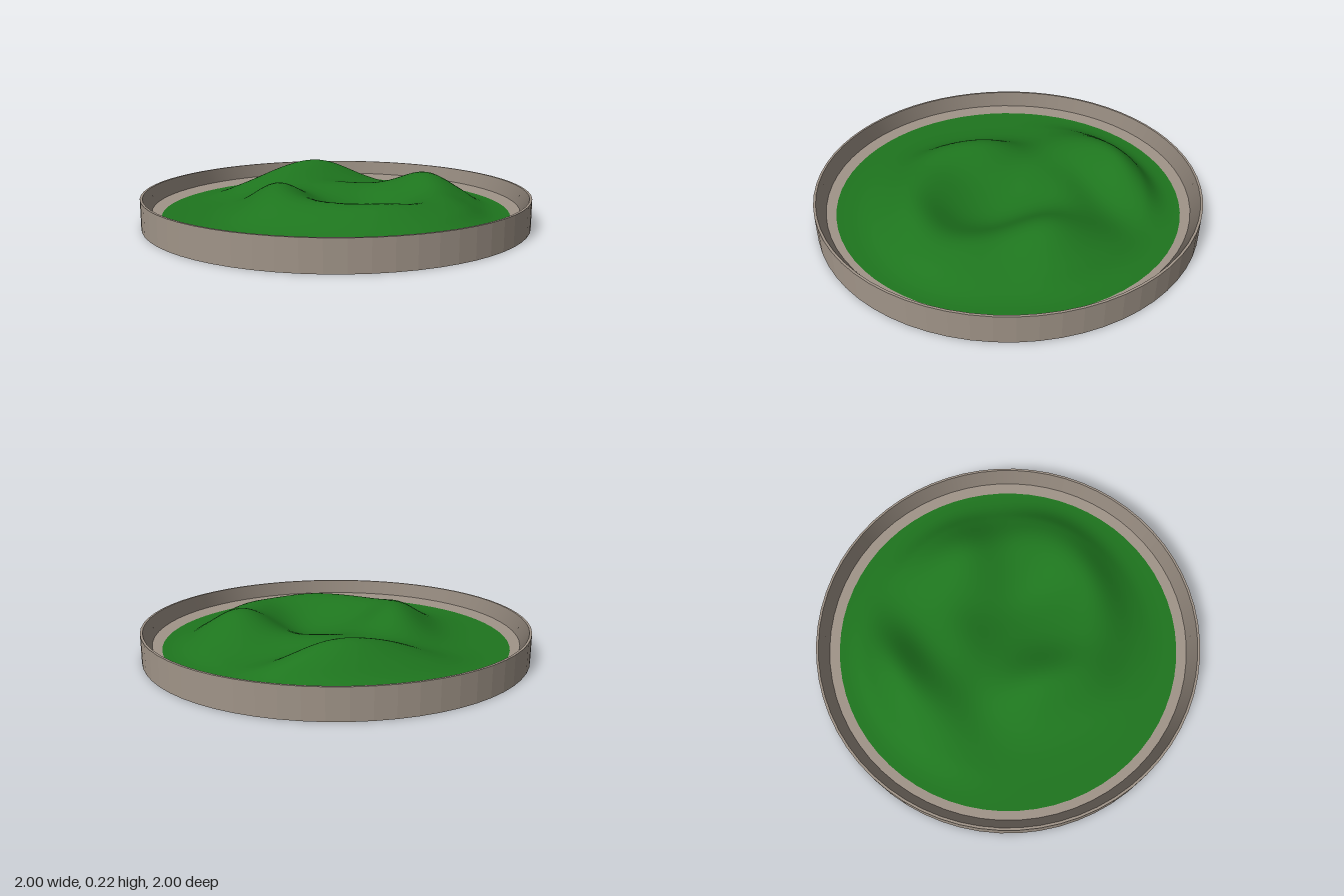
import * as THREE from 'three';
import { mergeVertices } from 'three/addons/utils/BufferGeometryUtils.js';

const BASE = 0.05;
const FIELD_RADIUS = 0.9;

// Rounded hills: x, z, height, spread in x, spread in z
const hills = [
  [0.07, -0.61, 0.135, 0.2, 0.105],  // back ridge
  [-0.2, -0.49, 0.1, 0.2, 0.13],     // back ridge, trailing to the right
  [0.5, -0.01, 0.15, 0.16, 0.16],    // left hill
  [0.55, -0.27, 0.035, 0.14, 0.14],  // left hill, trailing to the back
  [0.45, 0.35, 0.085, 0.14, 0.15],   // front left crest
  [0.14, 0.53, 0.1, 0.2, 0.11],      // front crest
  [-0.17, 0.4, 0.08, 0.16, 0.14],    // front right crest
  [-0.31, 0.01, 0.125, 0.13, 0.17],  // right hill
  [-0.38, 0.25, 0.065, 0.12, 0.14],  // right hill, trailing to the front
  [0.1, -0.25, 0.065, 0.22, 0.12],   // shelf behind the hollow
  [0.05, 0.1, 0.03, 0.3, 0.3],       // raised middle
  [0.18, 0.13, -0.04, 0.14, 0.14],   // hollow
];

function groundHeight(x, z) {
  let h = 0;
  for (const [cx, cz, height, sx, sz] of hills) {
    h += height * Math.exp(-0.5 * (((x - cx) / sx) ** 2 + ((z - cz) / sz) ** 2));
  }
  // Level out towards the edge of the field
  const fade = 1 - THREE.MathUtils.smoothstep(Math.hypot(x, z), 0.7, FIELD_RADIUS);
  return BASE + h * fade;
}

const dishMaterial = new THREE.MeshStandardMaterial({ color: 0xa09488 });

// A turned surface; each profile point is [radius, height]
function turned(name, profile, material) {
  const points = profile.map(([r, y]) => new THREE.Vector2(r, y));
  const mesh = new THREE.Mesh(new THREE.LatheGeometry(points, 64), material);
  mesh.name = name;
  return mesh;
}

function createDish() {
  const faceted = dishMaterial.clone();
  faceted.flatShading = true;
  const body = turned('dishBody', [[0, 0], [1, 0], [1, 0.15], [0.988, 0.15]], faceted);
  const wall = turned('innerWall', [[0.988, 0.15], [0.945, 0.078]], dishMaterial);
  const ledge = turned('ledge', [[0.945, 0.078], [FIELD_RADIUS - 0.002, BASE]], dishMaterial);

  // Shade the inner wall as upright and the ledge as level
  const n = new THREE.Vector3();
  const wallPoints = wall.geometry.attributes.position;
  for (let i = 0; i < wallPoints.count; i++) {
    n.fromBufferAttribute(wallPoints, i).setY(0).normalize().negate();
    wall.geometry.attributes.normal.setXYZ(i, n.x, 0, n.z);
    ledge.geometry.attributes.normal.setXYZ(i, 0, 1, 0);
  }

  const dish = new THREE.Group();
  dish.name = 'dish';
  dish.add(body, wall, ledge);
  return dish;
}

function createTerrain() {
  let geometry = new THREE.RingGeometry(0.001, FIELD_RADIUS, 96, 48);
  geometry.rotateX(-Math.PI / 2);
  geometry.deleteAttribute('uv');
  geometry.deleteAttribute('normal');
  // Join the seam so the shading is smooth all round
  geometry = mergeVertices(geometry, 1e-5);
  const p = geometry.attributes.position;
  for (let i = 0; i < p.count; i++) p.setY(i, groundHeight(p.getX(i), p.getZ(i)));
  geometry.computeVertexNormals();
  const terrain = new THREE.Mesh(
    geometry,
    new THREE.MeshStandardMaterial({ color: 0x1e751e, side: THREE.DoubleSide }),
  );
  terrain.name = 'grassTerrain';
  return terrain;
}

export function createModel() {
  const model = new THREE.Group();
  model.name = 'terrainDish';
  model.add(createDish(), createTerrain());
  return model;
}
